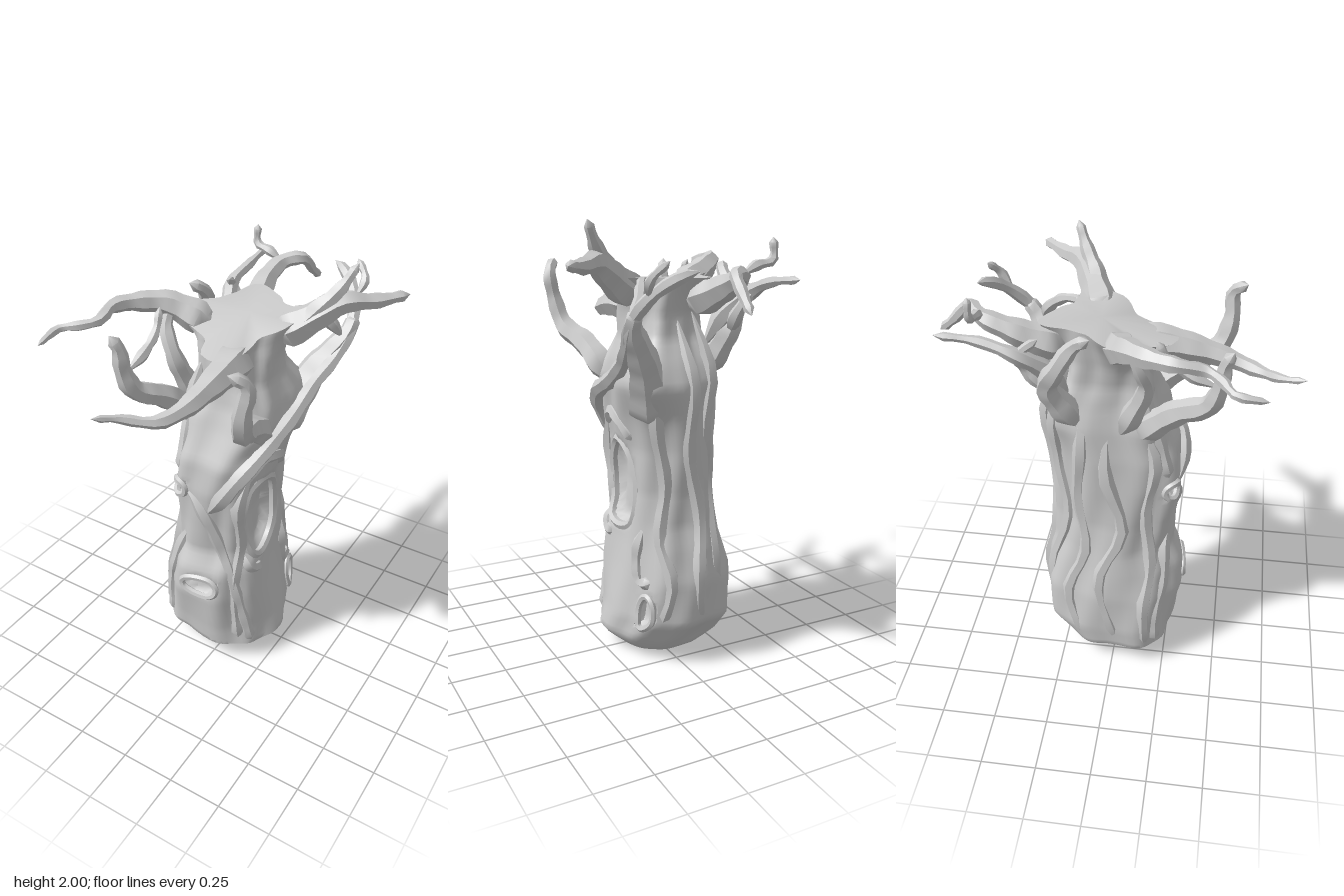
import * as THREE from 'three';
import { toCreasedNormals } from 'three/addons/utils/BufferGeometryUtils.js';

const bark = new THREE.MeshStandardMaterial({ color: 0xcccccc, side: THREE.DoubleSide });
const V = (p) => new THREE.Vector3(...p);
const rad = THREE.MathUtils.degToRad;
const angleGap = (a, b) => ((a - b + 900) % 360) - 180;

// Trunk cross-sections: height, min x, max x, back z, front z
const rings = [
  [0, -0.13, 0.06, -0.15, -0.02], [0.03, -0.23, 0.17, -0.21, 0.13], [0.09, -0.34, 0.24, -0.26, 0.28],
  [0.2, -0.34, 0.22, -0.35, 0.29], [0.4, -0.32, 0.19, -0.36, 0.32], [0.55, -0.29, 0.17, -0.33, 0.31],
  [0.65, -0.27, 0.16, -0.3, 0.26], [0.8, -0.25, 0.15, -0.29, 0.27], [1.0, -0.24, 0.16, -0.3, 0.29],
  [1.15, -0.23, 0.19, -0.31, 0.28], [1.3, -0.21, 0.22, -0.33, 0.21], [1.4, -0.18, 0.2, -0.29, 0.17],
  [1.5, -0.16, 0.16, -0.24, 0.15], [1.6, -0.17, 0.16, -0.23, 0.15], [1.68, -0.19, 0.17, -0.26, 0.16],
  [1.74, -0.22, 0.2, -0.29, 0.18],
];

// Hollows in the bark: angle (0 = front, 90 = +x), height, half angle, half height, depth
const hollows = [
  [81, 0.8, 27, 0.21, 0.06], [5, 0.47, 15, 0.05, 0.03],
  [-30, 0.99, 13, 0.04, 0.03], [128, 0.25, 9, 0.08, 0.04],
];
// Shoulders where the side limbs leave the trunk: angle, height, half angle, half height, size
const shoulders = [
  [142, 1.33, 30, 0.16, 0.07], [42, 1.33, 22, 0.1, 0.04],
  [-42, 1.35, 22, 0.1, 0.04], [-130, 1.38, 26, 0.14, 0.04],
];
const crownArms = [5, -78, 108, 195];

// Point on the bark at an angle and height, pushed out by lift
function surface(deg, y, lift = 0, carved = false) {
  let i = 0;
  while (i < rings.length - 2 && y > rings[i + 1][0]) i++;
  const a = rings[i], b = rings[i + 1];
  const k = (y - a[0]) / (b[0] - a[0]);
  const [x0, x1, z0, z1] = [1, 2, 3, 4].map((j) => a[j] + (b[j] - a[j]) * k);
  const t = rad(deg);
  const fade = Math.min(1, y / 0.1);
  let d = lift + fade * (0.009 * Math.sin(5 * t + 4 * y) + 0.007 * Math.sin(9 * t - 7 * y + 1) - 0.004);
  // crown rim reaches out along the arms
  const crown = Math.max(0, (y - 1.55) / 0.19) ** 2;
  const reach = Math.max(...crownArms.map((c) => Math.exp(-((angleGap(deg, c) / 24) ** 2))));
  d += crown * (0.11 * reach - 0.05);
  for (const [sd, sy, sw, sh, size] of shoulders) {
    d += size * Math.exp(-((angleGap(deg, sd) / sw) ** 2) - ((y - sy) / sh) ** 2);
  }
  if (carved) {
    for (const [hd, hy, hw, hh, depth] of hollows) {
      const q = (angleGap(deg, hd) / hw) ** 2 + ((y - hy) / hh) ** 2;
      if (q < 1) d -= depth * Math.min(1, (1 - q) * 2.5);
    }
  }
  // squarer at the front, rounder at the back
  const s = Math.sin(t), c = Math.cos(t);
  const box = (v) => Math.sign(v) * Math.abs(v) ** (c > 0 ? 0.74 : 0.92);
  return [
    (x0 + x1) / 2 + ((x1 - x0) / 2 + d) * box(s),
    y + crown * (0.02 - 0.09 * Math.max(0, c)),
    (z0 + z1) / 2 + ((z1 - z0) / 2 + d) * box(c),
  ];
}

function trunkGeometry() {
  const sides = 64, rows = 72, top = 1.74;
  const pos = [-0.04, 0, -0.08], idx = [];
  for (let r = 0; r <= rows; r++) {
    for (let s = 0; s < sides; s++) {
      pos.push(...surface((s / sides) * 360, 0.004 + (top - 0.004) * (r / rows), 0, true));
    }
  }
  const last = pos.length / 3;
  pos.push(0, 1.75, -0.08);
  for (let s = 0; s < sides; s++) {
    const n = (s + 1) % sides;
    idx.push(0, 1 + n, 1 + s);
    for (let r = 0; r < rows; r++) {
      const a = 1 + r * sides + s, b = 1 + r * sides + n;
      idx.push(a, b, b + sides, a, b + sides, a + sides);
    }
    idx.push(last, 1 + rows * sides + s, 1 + rows * sides + n);
  }
  const g = new THREE.BufferGeometry();
  g.setAttribute('position', new THREE.Float32BufferAttribute(pos, 3));
  g.setIndex(idx);
  return toCreasedNormals(g, 0.9);
}

// Tube whose radius runs from r0 to r1, with pointed ends
function limbGeometry(points, r0, r1, power = 1, closed = false) {
  const curve = new THREE.CatmullRomCurve3(points.map(V), closed, 'centripetal');
  const seg = points.length * 3, sides = 6;
  const g = new THREE.TubeGeometry(curve, seg, 1, sides, closed);
  const p = g.attributes.position, v = new THREE.Vector3();
  for (let i = 0; i <= seg; i++) {
    const t = i / seg, c = curve.getPointAt(closed ? t % 1 : t);
    let r = r1 + (r0 - r1) * (1 - t) ** power + 0.003 * Math.sin(i * 1.9);
    if (closed) r = r0;
    else if (i === seg) r = 0;
    else r *= Math.min(1, i / 3);
    for (let j = 0; j <= sides; j++) {
      const n = i * (sides + 1) + j;
      v.fromBufferAttribute(p, n).sub(c).multiplyScalar(r).add(c);
      p.setXYZ(n, v.x, v.y, v.z);
    }
  }
  return toCreasedNormals(g, 0.9);
}

export function createModel() {
  const model = new THREE.Group();
  const add = (name, geometry) => {
    const m = new THREE.Mesh(geometry, bark);
    m.name = name;
    model.add(m);
  };
  add('trunk', trunkGeometry());

  // Branches: base radius, tip radius, taper power, path
  const branches = {
    frontBranch: [0.11, 0.014, 1.6, [[0.03, 1.6, 0], [0.05, 1.62, 0.16], [0.05, 1.6, 0.33], [0.03, 1.57, 0.48], [-0.02, 1.555, 0.59], [-0.13, 1.59, 0.69], [-0.18, 1.62, 0.78]]],
    frontRightBranch: [0.09, 0.016, 2, [[-0.1, 1.68, 0], [-0.22, 1.73, 0.03], [-0.32, 1.78, 0.08], [-0.4, 1.8, 0.17], [-0.45, 1.81, 0.28], [-0.44, 1.79, 0.38], [-0.5, 1.78, 0.45], [-0.56, 1.77, 0.49], [-0.56, 1.75, 0.62]]],
    leftBranch: [0.1, 0.022, 1.3, [[0.08, 1.66, -0.08], [0.2, 1.72, -0.12], [0.3, 1.79, -0.17], [0.37, 1.83, -0.22], [0.46, 1.82, -0.31], [0.57, 1.83, -0.43]]],
    leftBranchSpike: [0.07, 0.015, 1, [[0.14, 1.66, -0.1], [0.22, 1.73, -0.12], [0.29, 1.81, -0.15], [0.36, 1.9, -0.2], [0.41, 2.0, -0.24]]],
    backBranch: [0.1, 0.02, 1.8, [[-0.07, 1.64, -0.18], [-0.11, 1.69, -0.33], [-0.13, 1.74, -0.45], [-0.11, 1.78, -0.57], [-0.04, 1.79, -0.63], [-0.03, 1.71, -0.71], [-0.02, 1.65, -0.78]]],
    backBranchFork: [0.025, 0.015, 1, [[-0.11, 1.78, -0.56], [-0.18, 1.82, -0.56], [-0.25, 1.84, -0.57], [-0.25, 1.93, -0.57]]],
    backCornerBranch: [0.06, 0.015, 1.4, [[-0.15, 1.45, -0.2], [-0.22, 1.6, -0.27], [-0.28, 1.7, -0.38], [-0.27, 1.75, -0.54], [-0.28, 1.77, -0.72]]],
    leftFrontBranch: [0.07, 0.022, 0.8, [[0.15, 1.25, 0.08], [0.19, 1.36, 0.17], [0.21, 1.43, 0.28], [0.26, 1.5, 0.41], [0.29, 1.63, 0.46], [0.31, 1.75, 0.46], [0.26, 1.81, 0.52]]],
    rightFrontBranch: [0.07, 0.022, 0.8, [[-0.15, 1.25, 0.08], [-0.19, 1.36, 0.17], [-0.22, 1.45, 0.27], [-0.27, 1.53, 0.4], [-0.29, 1.64, 0.44], [-0.29, 1.73, 0.45], [-0.31, 1.8, 0.48]]],
    rightFrontTwig: [0.028, 0.016, 1, [[-0.28, 1.62, 0.43], [-0.27, 1.66, 0.32], [-0.27, 1.72, 0.23], [-0.28, 1.81, 0.18]]],
    rightBackBranch: [0.07, 0.022, 0.9, [[-0.17, 1.3, -0.15], [-0.21, 1.43, -0.22], [-0.25, 1.55, -0.27], [-0.3, 1.66, -0.22], [-0.28, 1.76, -0.15], [-0.31, 1.81, -0.08]]],
    rightSideBranch: [0.06, 0.02, 1, [[-0.18, 1.28, 0.02], [-0.22, 1.42, 0.08], [-0.25, 1.58, 0.14], [-0.3, 1.7, 0.11], [-0.28, 1.8, 0.06]]],
    rightCornerTwig: [0.04, 0.014, 1, [[-0.24, 1.5, -0.26], [-0.23, 1.62, -0.36], [-0.27, 1.7, -0.38], [-0.24, 1.76, -0.3]]],
    // long branch winding from the front round the left side to the back
    windingBranch: [0.042, 0.022, 0.6, [[-0.02, 0.88, 0.26], [0.06, 0.99, 0.28], [0.14, 1.12, 0.265], [0.2, 1.22, 0.16], [0.23, 1.31, -0.05], [0.25, 1.41, -0.22], [0.29, 1.5, -0.35], [0.31, 1.62, -0.45], [0.26, 1.73, -0.55], [0.18, 1.79, -0.61], [0.12, 1.81, -0.64]]],
    windingBranchFork: [0.025, 0.014, 1, [[0.28, 1.7, -0.52], [0.3, 1.78, -0.58], [0.24, 1.85, -0.62]]],
    leftBackButtress: [0.11, 0.025, 0.8, [[0.08, 1.1, -0.15], [0.14, 1.28, -0.24], [0.19, 1.4, -0.31], [0.25, 1.5, -0.37], [0.3, 1.58, -0.42], [0.31, 1.66, -0.48]]],
    leftBackTwig: [0.035, 0.016, 1, [[0.3, 1.56, -0.4], [0.24, 1.66, -0.35], [0.19, 1.73, -0.27], [0.14, 1.75, -0.18]]],
  };
  for (const [name, [r0, r1, power, pts]] of Object.entries(branches)) add(name, limbGeometry(pts, r0, r1, power));

  // Vines and roots half sunk in the bark, as [angle, height] paths
  const vines = [
    [[-28, 1.02], [-5, 0.95], [8, 0.82], [22, 0.67], [42, 0.5], [48, 0.3], [52, 0.1]],
    [[62, 1.16], [48, 0.95], [50, 0.7], [44, 0.5], [40, 0.3], [36, 0.12]],
    [[-10, 0.78], [-25, 0.68], [-42, 0.5], [-50, 0.3], [-48, 0.1]],
    [[-60, 1.4], [-52, 1.15], [-62, 0.9], [-55, 0.6], [-66, 0.35], [-62, 0.1]],
    [[-85, 1.4], [-95, 1.1], [-84, 0.8], [-98, 0.5], [-88, 0.12]],
    [[-118, 1.5], [-112, 1.2], [-124, 0.95], [-114, 0.65], [-126, 0.4], [-118, 0.12]],
    [[-150, 1.62], [-138, 1.35], [-150, 1.1], [-142, 0.8], [-154, 0.5], [-148, 0.15]],
    [[180, 1.6], [188, 1.3], [178, 1.0], [190, 0.7], [180, 0.4], [186, 0.17]],
    [[150, 1.4], [142, 1.1], [148, 0.85], [140, 0.6], [152, 0.4], [146, 0.18]],
    [[122, 0.66], [112, 0.5], [116, 0.38], [132, 0.4]],
    [[50, 1.02], [70, 1.13], [92, 1.12], [110, 1.03]],
    [[50, 0.66], [66, 0.56], [78, 0.54]],
    [[-40, 1.6], [-46, 1.42], [-38, 1.25], [-36, 1.05]],
  ];
  vines.forEach((path, i) => add('vine' + (i + 1), limbGeometry(path.map(([d, y]) => surface(d, y, -0.012)), 0.038, 0.03)));

  // Raised rims round the hollows
  hollows.forEach(([deg, y, w, h], i) => {
    const pts = [];
    for (let k = 0; k < 12; k++) {
      const a = (k / 12) * Math.PI * 2;
      pts.push(surface(deg + w * Math.cos(a), y + h * Math.sin(a), i ? 0.002 : -0.012));
    }
    add('hollowRim' + (i + 1), limbGeometry(pts, i ? 0.016 : 0.022, 0, 1, true));
  });
  return model;
}
